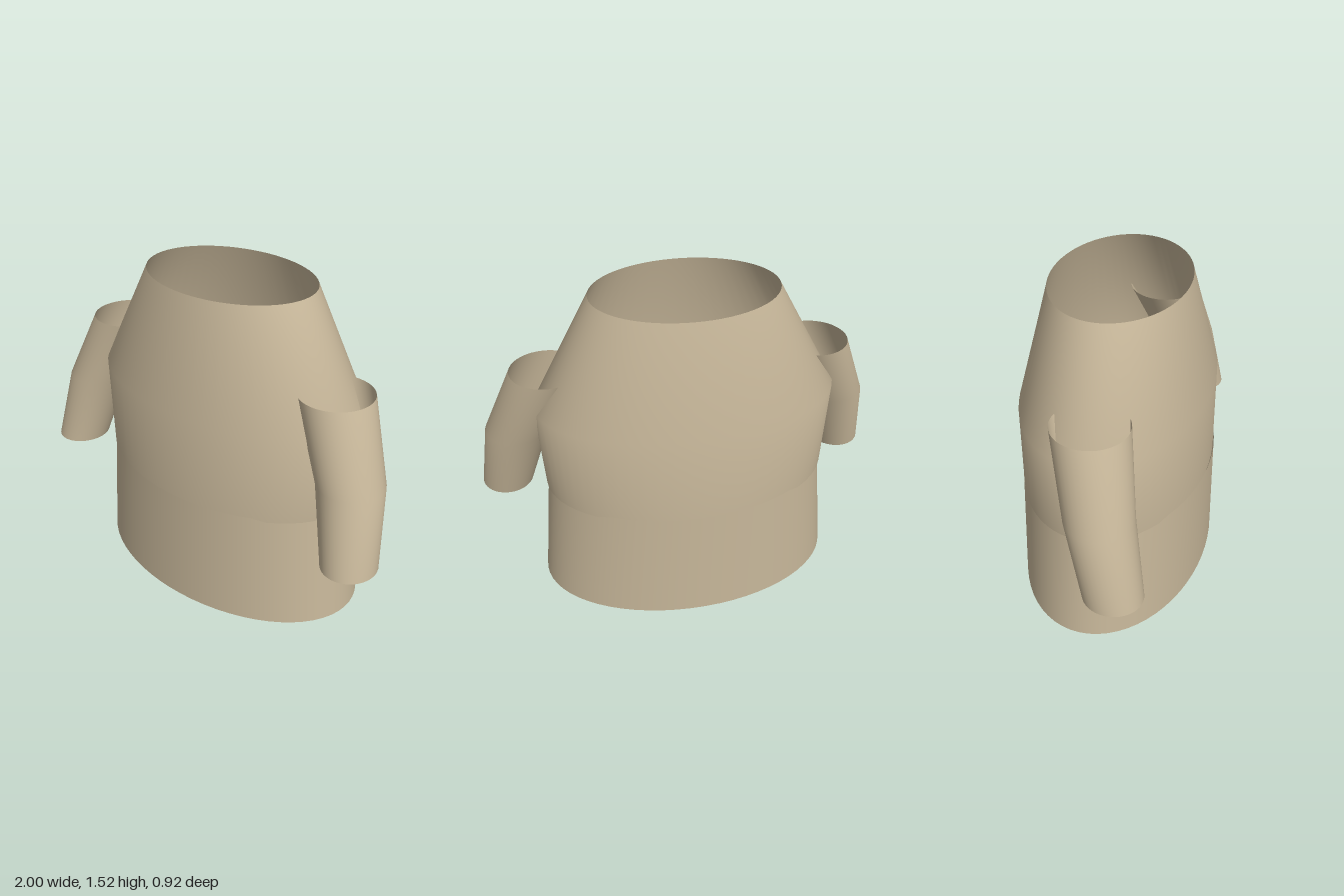
import * as THREE from 'three';

const material = new THREE.MeshStandardMaterial({ color: 0xc6b699, side: THREE.DoubleSide });

// Open tube lofted through elliptical rings [x, y, z, rx, rz], listed bottom to top
function loft(name, rings, sides) {
  const positions = [], index = [];
  for (const [x, y, z, rx, rz] of rings) {
    for (let i = 0; i < sides; i++) {
      const a = (i / sides) * Math.PI * 2;
      positions.push(x + rx * Math.sin(a), y, z + rz * Math.cos(a));
    }
  }
  for (let r = 0; r < rings.length - 1; r++) {
    for (let i = 0; i < sides; i++) {
      const j = (i + 1) % sides;
      const a = r * sides + i, b = r * sides + j;
      index.push(a, b, b + sides, a, b + sides, a + sides);
    }
  }
  const geometry = new THREE.BufferGeometry();
  geometry.setAttribute('position', new THREE.Float32BufferAttribute(positions, 3));
  geometry.setIndex(index);
  geometry.computeVertexNormals();
  const mesh = new THREE.Mesh(geometry, material);
  mesh.name = name;
  return mesh;
}

export function createModel() {
  const group = new THREE.Group();
  group.name = 'tunic';

  // Bodice: narrow neck opening, widest at the chest, open hem
  group.add(loft('bodice', [
    [0, 0.56, 0, 0.692, 0.447],
    [0, 1.0, 0, 0.72, 0.44],
    [0, 1.525, 0, 0.435, 0.315],
  ], 64));

  // Skirt: flares downward, its top tucked under the bodice at the sides
  group.add(loft('skirt', [
    [0, 0, 0, 0.737, 0.46],
    [0, 0.575, 0, 0.682, 0.452],
  ], 64));

  // Sleeves: open tubes bent at the elbow, mirrored
  for (const side of [1, -1]) {
    group.add(loft(side > 0 ? 'leftSleeve' : 'rightSleeve', [
      [side * 0.875, 0.467, 0.213, 0.125, 0.135],
      [side * 0.80, 0.82, 0.133, 0.152, 0.153],
      [side * 0.64, 1.167, 0.05, 0.17, 0.172],
    ], 40));
  }
  return group;
}
